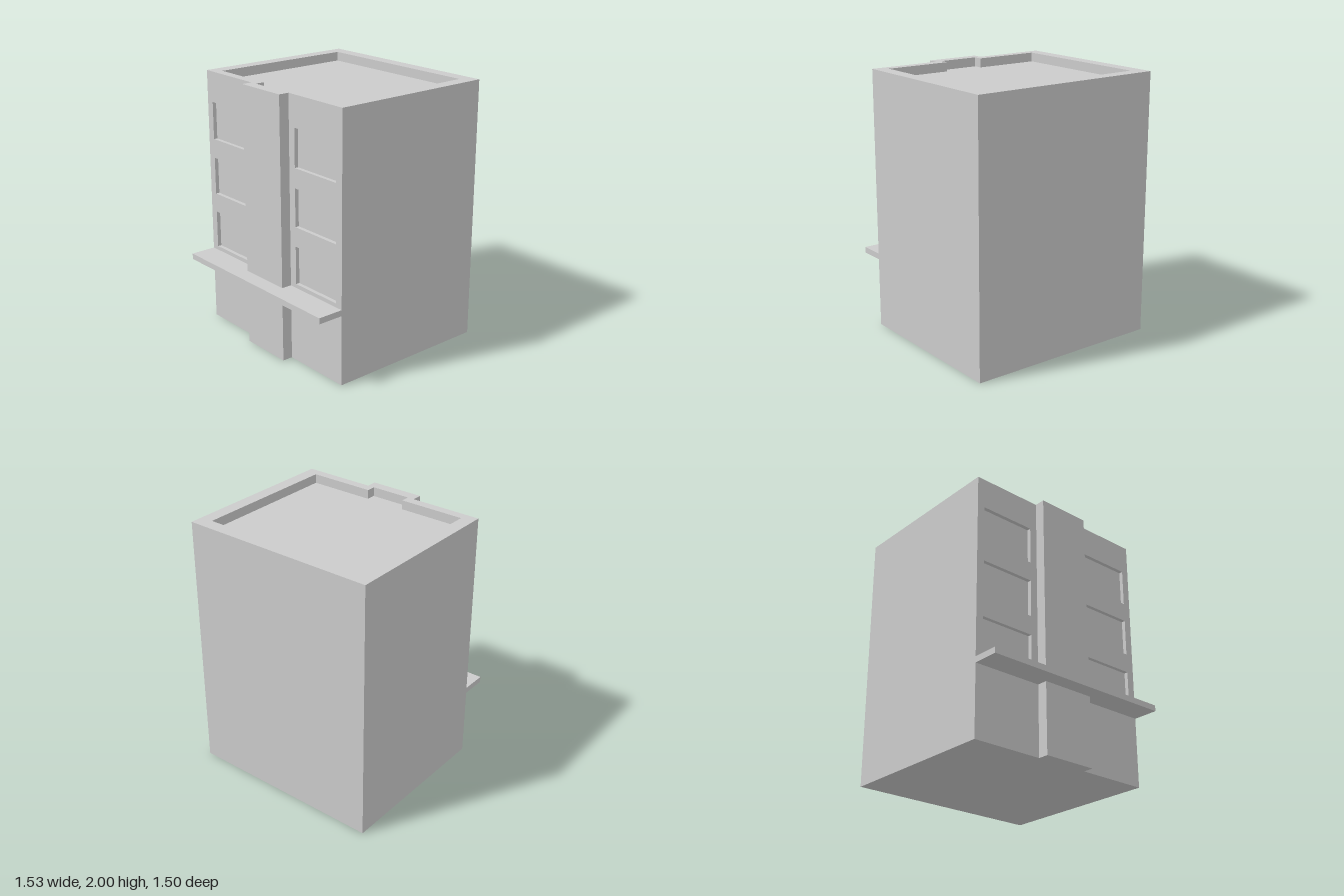
import * as THREE from 'three';

const HALF_W = 0.767, BACK = -0.75, FRONT = 0.55, HEIGHT = 2;
const ROOF = 1.93, RECESS = 0.03;
const PIER_HALF = 0.21, PIER_FRONT = 0.63;

const material = new THREE.MeshStandardMaterial({ color: 0xcccccc, flatShading: true });

function part(name, geometry) {
  const mesh = new THREE.Mesh(geometry, material);
  mesh.name = name;
  return mesh;
}

// Box given by its lower and upper limits
function block(name, x0, x1, y0, y1, z0, z1) {
  const geometry = new THREE.BoxGeometry(x1 - x0, y1 - y0, z1 - z0);
  geometry.translate((x0 + x1) / 2, (y0 + y1) / 2, (z0 + z1) / 2);
  return part(name, geometry);
}

// T-shaped plan outline: a rectangle with a centred bump on the front
function planPoints(halfW, back, front, bumpHalf, bumpFront) {
  return [
    [-halfW, front], [-bumpHalf, front], [-bumpHalf, bumpFront], [bumpHalf, bumpFront],
    [bumpHalf, front], [halfW, front], [halfW, back], [-halfW, back],
  ].map(([x, z]) => new THREE.Vector2(x, -z));
}

function rectPoints(x0, x1, y0, y1) {
  return [[x0, y0], [x1, y0], [x1, y1], [x0, y1]].map(([x, y]) => new THREE.Vector2(x, y));
}

export function createModel() {
  const building = new THREE.Group();
  building.name = 'building';

  // Main volume, whose top is the sunken roof and whose front backs the windows
  building.add(block('body', -HALF_W, HALF_W, 0, ROOF, BACK, FRONT - RECESS));

  // Central pier running the full height of the facade
  building.add(block('centrePier', -PIER_HALF, PIER_HALF, 0, ROOF, FRONT - RECESS, PIER_FRONT));

  // Facade panels with three recessed windows on each side
  for (const side of [-1, 1]) {
    const inner = side * PIER_HALF, outer = side * HALF_W;
    const panel = new THREE.Shape(rectPoints(Math.min(inner, outer), Math.max(inner, outer), 0, ROOF));
    for (const y of [0.61, 1.045, 1.48]) {
      const x0 = side > 0 ? 0.27 : -0.707;
      panel.holes.push(new THREE.Path(rectPoints(x0, x0 + 0.437, y, y + 0.287)));
    }
    const geometry = new THREE.ExtrudeGeometry(panel, { depth: RECESS, bevelEnabled: false });
    geometry.translate(0, 0, FRONT - RECESS);
    building.add(part(side > 0 ? 'leftFacade' : 'rightFacade', geometry));
  }

  // Parapet ring following the plan outline
  const ring = new THREE.Shape(planPoints(HALF_W, BACK, FRONT, PIER_HALF, PIER_FRONT));
  ring.holes.push(new THREE.Path(planPoints(0.667, -0.65, 0.48, 0.157, 0.55)));
  const parapet = new THREE.ExtrudeGeometry(ring, { depth: HEIGHT - ROOF, bevelEnabled: false });
  parapet.rotateX(-Math.PI / 2);
  parapet.translate(0, ROOF, 0);
  building.add(part('parapet', parapet));

  // Canopy slab over the ground floor
  building.add(block('canopy', -HALF_W, HALF_W, 0.535, 0.58, FRONT, 0.75));

  return building;
}
